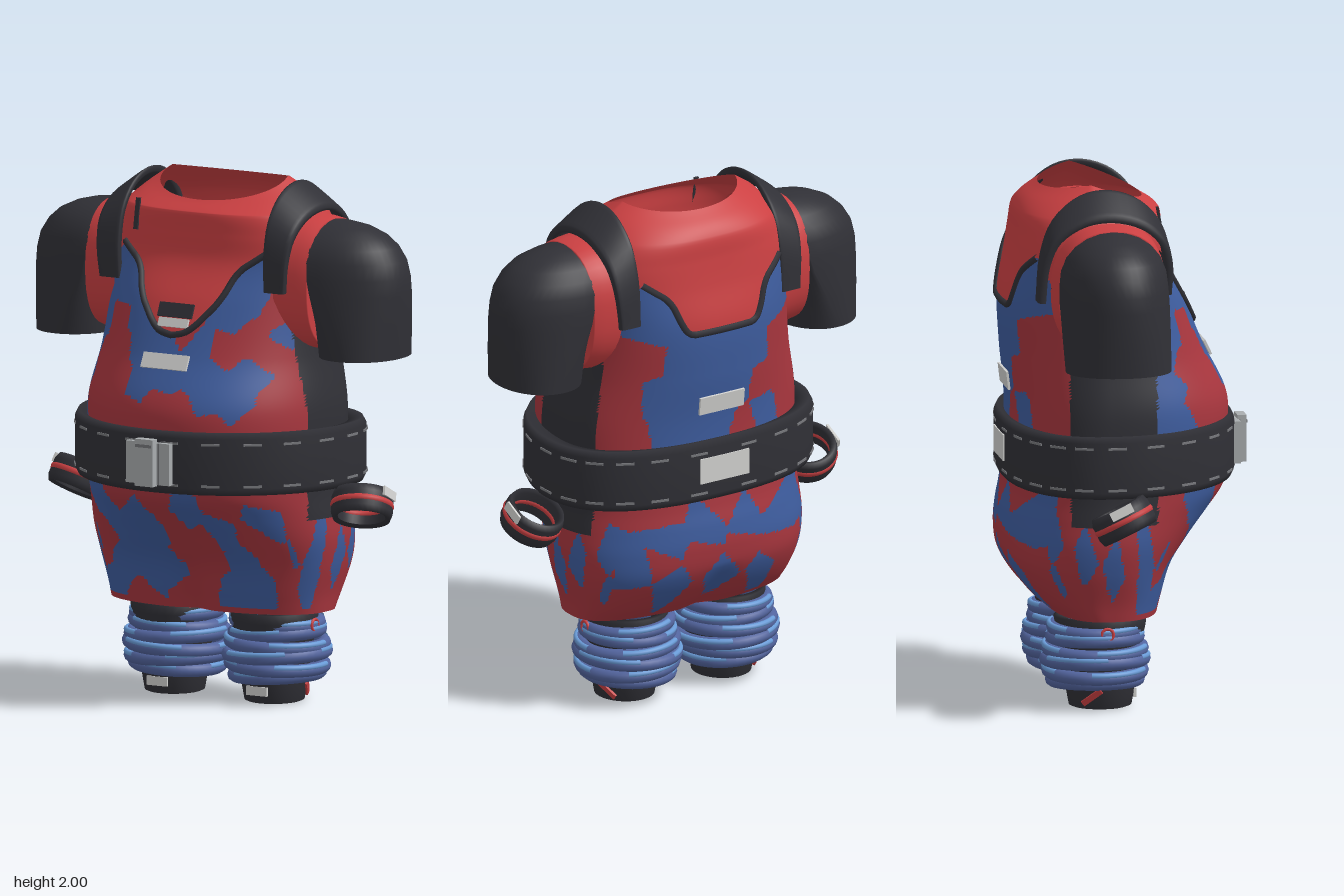
import * as THREE from 'three';

const mat = (name, color) => new THREE.MeshStandardMaterial({ name, color, side: THREE.DoubleSide });
const red = mat('jersey red', 0xcb4042), maroon = mat('camo red', 0xa8363e), blue = mat('camo blue', 0x3e5d9f);
const black = mat('charcoal', 0x303036), label = mat('label grey', 0xd2d2d0), metal = mat('buckle grey', 0xa9adaf);
const stitch = mat('stitch grey', 0x77787c), sock = mat('sock blue', 0x53659f), stripe = mat('sock light blue', 0x6a9cd8);

const mesh = (parent, name, geo, material, x = 0, y = 0, z = 0) => {
  const m = new THREE.Mesh(geo, material);
  m.name = name;
  m.position.set(x, y, z);
  parent.add(m);
  return m;
};

// Closed loops of nu points stacked nv times; pick(centroid) gives a material index
function loft(nu, nv, fn, pick = () => 0, count = 1) {
  const pts = [], lists = Array.from({ length: count }, () => []), c = new THREE.Vector3();
  for (let j = 0; j <= nv; j++) for (let i = 0; i < nu; i++) pts.push(new THREE.Vector3(...fn(i / nu * Math.PI * 2, j / nv, j)));
  const tri = (...t) => {
    c.set(0, 0, 0);
    t.forEach(k => c.addScaledVector(pts[k], 1 / 3));
    lists[pick(c)].push(...t);
  };
  for (let j = 0; j < nv; j++) for (let i = 0; i < nu; i++) {
    const a = j * nu + i, b = j * nu + (i + 1) % nu;
    tri(a, b, b + nu);
    tri(a, b + nu, a + nu);
  }
  const g = new THREE.BufferGeometry().setFromPoints(pts);
  g.setIndex(lists.flat());
  let start = 0;
  lists.forEach((l, k) => { g.addGroup(start, l.length, k); start += l.length; });
  g.computeVertexNormals();
  return g;
}

const power = (v, n) => Math.sign(v) * Math.abs(v) ** (2 / n);
const lerpTable = (table, x) => {
  for (let i = 1; i < table.length; i++) {
    const [x0, y0] = table[i - 1], [x1, y1] = table[i];
    if (x <= x1) return y0 + (y1 - y0) * (x - x0) / (x1 - x0);
  }
  return table[table.length - 1][1];
};

// Body sections, widest at z = MID: half width, front z, back z, roundness
const MID = -0.11;
const heights = [0.36, 0.42, 0.55, 0.65, 0.74, 0.82, 1, 1.16, 1.35, 1.55, 1.7, 1.8, 1.88, 1.95, 2];
const widths = [
  0.46, 0.12, -0.29, 2.6, 0.47, 0.135, -0.36, 2.6, 0.505, 0.18, -0.45, 2.4, 0.52, 0.255, -0.47, 2.2, 0.515, 0.33, -0.465, 2.1,
  0.505, 0.388, -0.45, 2.1, 0.5, 0.4, -0.43, 2.2, 0.495, 0.4, -0.43, 2.2, 0.46, 0.31, -0.45, 2.2,
  0.435, 0.225, -0.455, 2.4, 0.43, 0.15, -0.425, 2.7, 0.42, 0.14, -0.41, 2.7, 0.39, 0.138, -0.4, 2.5,
  0.33, 0.115, -0.365, 2.2, 0.26, 0.08, -0.31, 2];
const sections = new THREE.CubicInterpolant(heights, widths, 4);
const section = y => Array.from(sections.evaluate(y));

function bodyPoint(a, y, inset = 0) {
  const [w, f, b, n] = section(y), c = Math.cos(a);
  const x = (w - inset) * power(Math.sin(a), n);
  let dz = ((c > 0 ? f - MID : MID - b) - inset) * power(c, n);
  if (y < 0.58) dz *= 1 - (0.58 - y) * 0.7 * Math.exp(-((x / 0.06) ** 2)); // crease between the legs
  const z = MID + dz, rim = Math.max(0, (y - 1.88) / 0.12);
  return [x, y - rim * (z > -0.15 ? 0.08 * (z + 0.15) / 0.23 : 0.03 * (-0.15 - z) / 0.16), z];
}
function surfaceZ(x, y, side) {
  const [w, f, b, n] = section(y), k = Math.max(0, 1 - (Math.abs(x) / w) ** n) ** (1 / n);
  return MID + k * ((side > 0 ? f : b) - MID);
}

// Top edge of the overalls
const edge = [[0, 1.43], [0.05, 1.44], [0.09, 1.465], [0.17, 1.56], [0.215, 1.67], [0.31, 1.74], [0.38, 1.64], [0.42, 1.5], [0.46, 1.42]];
const topEdge = (x, side) => {
  const y = lerpTable(edge, Math.abs(x));
  return side < 0 && Math.abs(x) < 0.31 ? Math.max(y, 1.53) : y;
};

// Camouflage seeds, [x, y] for front and back, [z, y] for the hips
const camo = {
  front: {
    blue: [[-0.36, 1.56], [-0.27, 1.58], [-0.43, 1.38], [-0.46, 1.25], [-0.47, 1.13], [-0.37, 1.47], [-0.15, 1.47], [-0.13, 1.38],
      [-0.1, 1.26], [-0.02, 1.38], [0.02, 1.3], [0.13, 1.39], [0.17, 1.29], [0.21, 1.21], [0.3, 1.57], [0.24, 1.5], [0.33, 1.28],
      [0.3, 1.19], [0.42, 1.43], [-0.28, 0.73], [-0.33, 0.78], [-0.14, 0.72], [-0.2, 0.62], [-0.08, 0.67], [-0.3, 0.5], [-0.38, 0.43],
      [-0.17, 0.5], [-0.06, 0.53], [0.1, 0.77], [0.2, 0.68], [0.25, 0.58], [0.29, 0.48], [0.19, 0.44], [0.38, 0.74]],
    red: [[-0.28, 1.46], [-0.23, 1.36], [-0.2, 1.26], [-0.33, 1.3], [-0.35, 1.17], [-0.26, 1.15], [-0.13, 1.13], [0, 1.16], [0.1, 1.14],
      [0.05, 1.46], [0.22, 1.4], [0.29, 1.44], [0.36, 1.54], [0.38, 1.36], [0.41, 1.22], [0.36, 1.12], [0.22, 1.1], [-0.2, 0.83],
      [0, 0.83], [0.24, 0.82], [0.4, 0.83], [-0.43, 0.7], [-0.42, 0.55], [-0.37, 0.64], [0.03, 0.71], [0.02, 0.59], [0.12, 0.57],
      [0.08, 0.48], [0, 0.42], [-0.22, 0.4], [0.32, 0.65], [0.38, 0.56], [0.42, 0.46], [0.14, 0.65]],
  },
  back: {
    blue: [[0, 1.42], [0.08, 1.28], [-0.08, 1.28], [0, 1.17], [-0.16, 1.42], [0.17, 1.42], [-0.2, 1.15], [0.22, 1.17], [-0.25, 1.57],
      [0.28, 1.58], [0.27, 1.28], [-0.1, 0.74], [0.08, 0.74], [0.24, 0.71], [-0.26, 0.7], [0, 0.53], [0.22, 0.52], [-0.2, 0.5], [0.34, 0.6]],
    red: [[-0.28, 1.43], [-0.29, 1.28], [-0.36, 1.18], [0.31, 1.44], [0.36, 1.28], [0.36, 1.14], [-0.12, 1.11], [-0.19, 1.26],
      [0, 0.84], [-0.2, 0.83], [0.25, 0.83], [0.1, 0.63], [-0.08, 0.63], [-0.25, 0.6], [0.27, 0.62], [0.1, 0.43], [-0.1, 0.42], [-0.32, 0.5], [0.33, 0.46]],
  },
  hip: {
    blue: [[0.22, 0.68], [0.12, 0.55], [0.02, 0.64], [-0.1, 0.56], [-0.21, 0.62], [-0.33, 0.7], [-0.31, 0.47], [0.03, 0.45]],
    red: [[0.15, 0.76], [0.07, 0.68], [0.07, 0.44], [-0.04, 0.62], [-0.05, 0.44], [-0.16, 0.7], [-0.16, 0.48], [-0.27, 0.56], [-0.27, 0.75],
      [-0.24, 0.42], [-0.38, 0.6], [0.17, 0.62]],
  },
};
const nearest = (list, u, y, stretch) => Math.min(...list.map(p => Math.hypot(u - p[0], (y - p[1]) * stretch)));
const bodyMaterials = [red, maroon, blue, black];
function bodyColour({ x, y, z }) {
  const side = z > MID ? 1 : -1, ax = Math.abs(x);
  if (y > topEdge(x, side)) return 0;
  if (ax > 0.33 && z < 0.07 && z > -0.26 && y > 0.73) return 3;
  if (y < 0.385) return 1;
  const hip = ax > 0.42 && y < 0.85;
  const { blue: b, red: r } = hip ? camo.hip : side > 0 ? camo.front : camo.back;
  const u = hip ? z : x, stretch = hip ? 0.45 : 0.85;
  return nearest(b, u, y, stretch) < nearest(r, u, y, stretch) ? 2 : 1;
}

const tube = pts => new THREE.TubeGeometry(new THREE.CatmullRomCurve3(pts), 48, 0.014, 6);
const ring = (r, t, arc = Math.PI * 2) => new THREE.TorusGeometry(r, t, 10, 40, arc).rotateX(Math.PI / 2);

export function createModel() {
  const model = new THREE.Group();
  model.name = 'outfit';
  mesh(model, 'jerseyAndOveralls', loft(180, 150, (a, v) => bodyPoint(a, 0.36 + 1.64 * v), bodyColour, 4), bodyMaterials);
  mesh(model, 'overallsLining', loft(64, 24, (a, v) => bodyPoint(a, 0.37 + 1.36 * v, 0.02)), black);

  // Underside with two leg openings, dark on the inside
  const base = new THREE.Shape(Array.from({ length: 64 }, (_, i) => {
    const [x, , z] = bodyPoint(i / 32 * Math.PI, 0.36);
    return new THREE.Vector2(x, -z);
  }));
  for (const s of [1, -1]) base.holes.push(new THREE.Path().absellipse(s * 0.22, 0.1, 0.165, 0.168, 0, Math.PI * 2));
  const underside = new THREE.ShapeGeometry(base, 24).rotateX(-Math.PI / 2);
  mesh(model, 'trouserUnderside', underside, maroon, 0, 0.36, 0);
  mesh(model, 'trouserLining', underside, black, 0, 0.368, 0);

  // Neckline trims, labels on chest and back
  for (const side of [1, -1]) {
    const pts = Array.from({ length: 25 }, (_, i) => {
      const x = -0.31 + i * 0.62 / 24, y = topEdge(x, side);
      return new THREE.Vector3(x, y, surfaceZ(x, y, side));
    });
    mesh(model, 'necklineTrim', tube(pts), black);
  }
  const plate = (name, w, h, x, y, side, material) => {
    const m = mesh(model, name, new THREE.BoxGeometry(w, h, 0.009), material, x, y, surfaceZ(x, y, side) + side * 0.004);
    m.rotation.x = Math.atan((surfaceZ(x, y + 0.02, side) - surfaceZ(x, y - 0.02, side)) / 0.04);
  };
  plate('chestLabel', 0.2, 0.06, 0, 1.335, 1, label);
  plate('collarLabel', 0.13, 0.035, 0, 1.475, 1, label);
  plate('collarPatch', 0.15, 0.055, 0, 1.52, 1, black);
  plate('backLabel', 0.2, 0.07, 0, 1.23, -1, label);
  plate('placketStrip', 0.018, 0.12, -0.25, 1.85, 1, black);

  // Belt with stitching, buckle and back label
  const beltPoint = (a, inset) => {
    const c = Math.cos(a), n = c > 0 ? 2 : 2.4;
    return [(0.57 - inset) * power(Math.sin(a), n), -0.1 + ((c > 0 ? 0.53 : 0.36) - inset) * power(c, n)];
  };
  const beltProfile = [[0.07, 0.87], [0.012, 0.85], [0, 0.875], [0, 1.065], [0.012, 1.09], [0.07, 1.075], [0.07, 0.87]];
  mesh(model, 'belt', loft(72, 6, (a, v, j) => {
    const [x, z] = beltPoint(a, beltProfile[j][0]);
    return [x, beltProfile[j][1], z];
  }), black);
  for (const y of [0.885, 1.045]) for (let i = 0; i < 22; i++) {
    const a = (i + 0.5) / 22 * Math.PI * 2, [x, z] = beltPoint(a, 0), [x0, z0] = beltPoint(a - 0.05, 0), [x1, z1] = beltPoint(a + 0.05, 0);
    const m = mesh(model, 'beltStitch', new THREE.BoxGeometry(0.07, 0.009, 0.006), stitch, x, y, z);
    m.rotation.y = Math.atan2(z0 - z1, x1 - x0);
  }
  mesh(model, 'beltLabel', new THREE.BoxGeometry(0.22, 0.1, 0.009), label, 0, 0.975, -0.459);
  mesh(model, 'bucklePlate', new THREE.BoxGeometry(0.19, 0.16, 0.03), metal, 0, 0.965, 0.435);
  mesh(model, 'buckleClasp', new THREE.BoxGeometry(0.08, 0.18, 0.035), metal, 0, 0.97, 0.462);
  for (const x of [-0.05, 0.05]) mesh(model, 'buckleSlot', new THREE.BoxGeometry(0.008, 0.16, 0.006), stitch, x, 0.965, 0.45);
  mesh(model, 'buckleBar', new THREE.BoxGeometry(0.07, 0.012, 0.006), stitch, 0, 1.035, 0.48);

  for (const s of [1, -1]) {
    const half = new THREE.Group();
    half.name = s > 0 ? 'leftSide' : 'rightSide';
    half.scale.x = s;
    model.add(half);

    // Shoulder with closed end, sleeve and red sleeve lining
    const shoulderRows = [[0.35, 1], [0.44, 0.97], [0.487, 0.94], [0.49, 0.92], [0.49, 0]];
    mesh(half, 'shoulder', loft(40, 4, (a, v, j) => {
      const [x, k] = shoulderRows[j];
      return [x, 1.62 - 0.26 * k * power(Math.sin(a), 2.4), -0.105 + 0.22 * k * power(Math.cos(a), 2.4)];
    }), red);
    const rows = [[1.355, 0.62, 0.785, 0.2], [1.48, 0.57, 0.795, 0.205], [1.6, 0.51, 0.8, 0.207], [1.66, 0.49, 0.797, 0.205], [1.72, 0.485, 0.782, 0.198],
      [1.77, 0.485, 0.75, 0.178], [1.81, 0.485, 0.705, 0.145], [1.84, 0.485, 0.64, 0.1], [1.857, 0.485, 0.57, 0.05], [1.862, 0.485, 0.49, 0.005]];
    const sleeve = inset => (a, v, j) => {
      const [y, cx, x1, hz] = rows[j], c = Math.sin(a);
      return [cx + (c > 0 ? x1 - cx - inset : cx - 0.465) * power(c, 2.1), y, -0.105 + (hz - inset) * power(Math.cos(a), 2.1)];
    };
    mesh(half, 'sleeve', loft(48, 9, sleeve(0)), black);
    mesh(half, 'sleeveLining', loft(48, 4, sleeve(0.014)), red);

    // Shoulder strap, narrower at its lower ends
    const path = new THREE.CatmullRomCurve3([[0.12, 1.6], [0.124, 1.72], [0.095, 1.83], [0.02, 1.905], [-0.09, 1.94], [-0.2, 1.925],
      [-0.3, 1.85], [-0.345, 1.74], [-0.36, 1.58]].map(([z, y]) => new THREE.Vector3(0, y, z)));
    mesh(half, 'shoulderStrap', loft(16, 32, (a, v) => {
      const p = path.getPoint(v), t = path.getTangent(v), k = Math.max(0, (p.y - 1.6) / 0.35);
      const dx = (0.045 + 0.015 * k) * power(Math.sin(a), 5), d = 0.016 * power(Math.cos(a), 5);
      return [0.362 + 0.016 * k + dx, p.y - t.z * d - dx * 0.75 * k, p.z + t.y * d];
    }), black);

    // Armhole trim, front and back
    for (const side of [1, -1]) {
      mesh(half, 'armholeTrim', tube([0.38, 0.4, 0.42, 0.44, 0.455].map(x => {
        const y = topEdge(x, side);
        return new THREE.Vector3(x, y, surfaceZ(x, y, side));
      })), black);
    }

    // Wristband hanging at the hip
    const band = new THREE.Group();
    band.name = 'wristband';
    band.position.set(0.622, 0.78, -0.085);
    band.rotation.set(-0.45, 0, 0.2);
    half.add(band);
    const profile = [[0.09, -0.045], [0.108, -0.055], [0.117, -0.03], [0.117, 0.03], [0.108, 0.055], [0.09, 0.045], [0.09, -0.045]];
    mesh(band, 'bandLoop', new THREE.LatheGeometry(profile.map(p => new THREE.Vector2(...p)), 36), black);
    mesh(band, 'bandStripe', ring(0.104, 0.017), red);
    mesh(band, 'bandLabel', new THREE.BoxGeometry(0.009, 0.035, 0.09), label, 0.115, 0.035, 0);

    // Open ankle tube
    const leg = new THREE.Group();
    leg.name = 'leg';
    leg.position.set(0.22, 0, -0.11);
    half.add(leg);
    const ankle = [[0.098, 0.03], [0.1, 0], [0.112, 0.005], [0.125, 0.08], [0.14, 0.2], [0.162, 0.31], [0.166, 0.347], [0.15, 0.35], [0.125, 0.2], [0.108, 0.06]];
    mesh(leg, 'ankleTube', new THREE.LatheGeometry(ankle.map(p => new THREE.Vector2(...p)), 36), black).scale.z = 1.06;
    mesh(leg, 'ankleLabel', new THREE.BoxGeometry(0.09, 0.035, 0.009), label, 0, 0.05, 0.127);
    mesh(leg, 'ankleMark', new THREE.BoxGeometry(0.009, 0.022, 0.09), red, 0.114, 0.05, -0.05).rotation.set(-0.7, 0.4, 0);
    mesh(leg, 'sockMark', ring(0.022, 0.006).rotateZ(Math.PI / 2), red, 0.178, 0.3, 0);

    // Bunched sock rolls with broken light streaks
    [[0.302, 0.158], [0.264, 0.163], [0.222, 0.178], [0.18, 0.185], [0.138, 0.178], [0.102, 0.163]].forEach(([y, r], i) => {
      const roll = new THREE.Group();
      roll.name = 'sockRoll';
      roll.position.set(0, y, -0.02);
      roll.rotation.z = i % 2 ? 0.05 : -0.04;
      leg.add(roll);
      mesh(roll, 'sockFold', ring(r, 0.026), sock);
      for (let k = 0; k < 3; k++) mesh(roll, 'sockStreak', ring(r + 0.014, 0.011, 1.3), stripe, 0, 0.014, 0).rotation.y = i * 1.1 + k * 2.1;
    });
  }
  return model;
}
